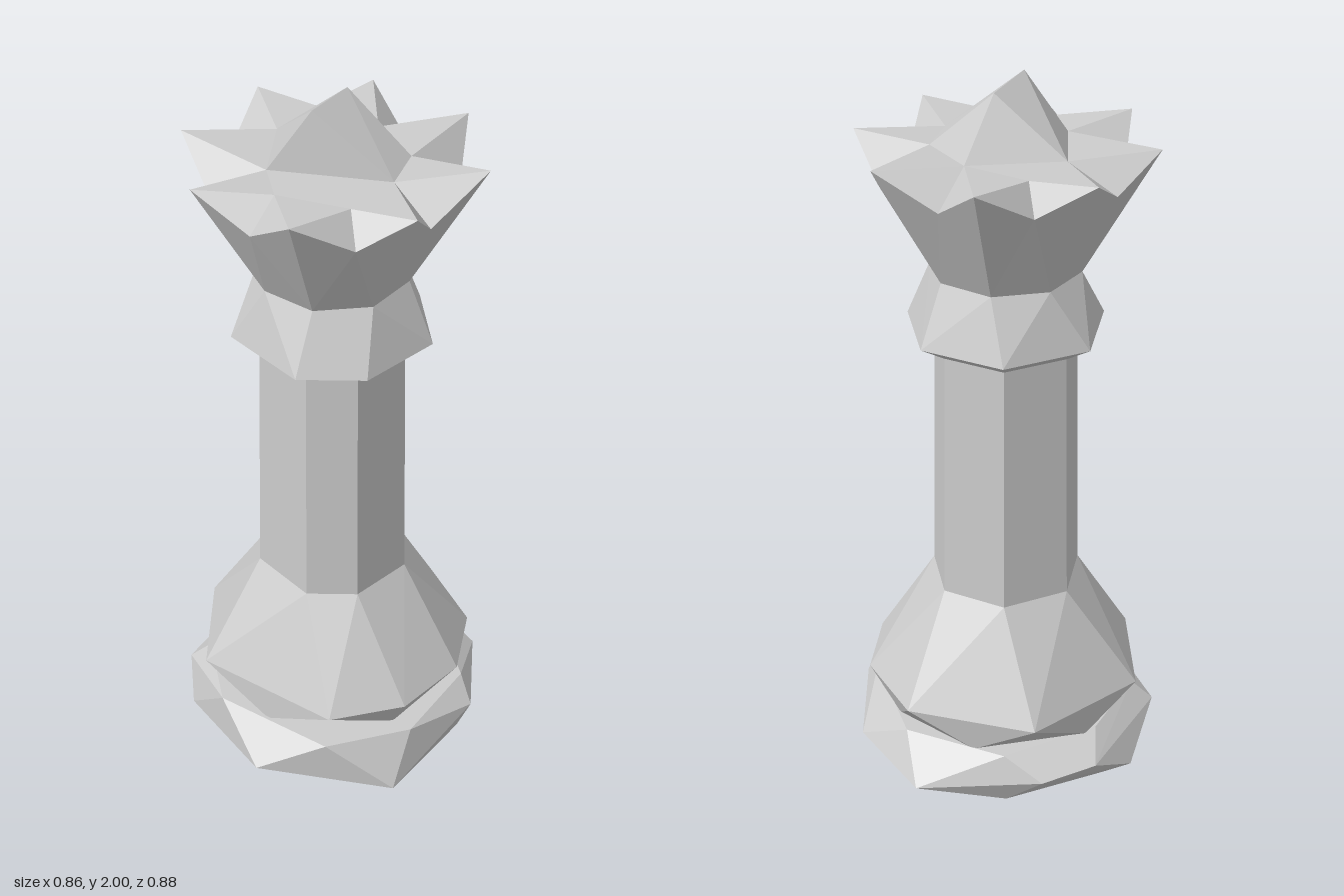
import * as THREE from 'three';
import { ConvexGeometry } from 'three/addons/geometries/ConvexGeometry.js';

const material = new THREE.MeshStandardMaterial({ color: 0xcccccc, flatShading: true });
const v = (x, y, z) => new THREE.Vector3(x, y, z);

// Points around the axis; angle 0 faces the front and grows towards +x
const ring = (degrees, radius, y) => degrees.map((d) => {
  const a = THREE.MathUtils.degToRad(d);
  return v(radius * Math.sin(a), y, radius * Math.cos(a));
});
const plan = (y, pairs) => pairs.map(([x, z]) => v(x, y, z));

function addMesh(group, name, geometry) {
  const mesh = new THREE.Mesh(geometry, material);
  mesh.name = name;
  group.add(mesh);
}
const addHull = (group, name, ...rings) => addMesh(group, name, new ConvexGeometry(rings.flat()));

export function createModel() {
  const group = new THREE.Group();
  group.name = 'chessQueen';

  const octagon = Array.from({ length: 8 }, (_, i) => 22.5 + 45 * i);
  const sides = [-40, 17, 56, 108, 160, 212, 266];

  // Irregular faceted foot
  addHull(group, 'foot',
    plan(0, [[-0.3, 0.3], [0.39, 0.225], [0.385, -0.1], [0.12, -0.33], [-0.2, -0.3], [-0.36, -0.05]]),
    [v(0.06, 0.05, 0.44), v(0.01, 0.04, -0.445), v(-0.43, 0.03, 0), v(0.425, 0.1, -0.11),
      v(0.26, 0.08, -0.36), v(-0.405, 0.11, -0.155), v(-0.31, 0.09, -0.285), v(-0.365, 0.1, 0.23)],
    plan(0.155, [[-0.13, 0.36], [0.23, 0.335], [0.38, 0.13], [0.36, -0.15], [0.1, -0.36],
      [-0.2, -0.31], [-0.34, -0.05], [-0.31, 0.2]]));

  // Swelling above the foot, tapering up to the shaft
  addHull(group, 'lowerBulge',
    ring([4, 68, 118, 150, 198, 255, 308], 0.34, 0.15),
    ring([-30, 36, 68, 101, 133, 170, 225, 282], 0.4, 0.253),
    ring(sides, 0.215, 0.55));

  addHull(group, 'shaft', ring(sides, 0.215, 0.55), ring(sides, 0.202, 1.29));

  addHull(group, 'collar',
    ring(sides, 0.205, 1.275),
    ring(sides, 0.278, 1.32),
    ring(octagon, 0.205, 1.49));

  // Crown: eight points with notches between them and an uneven inner ledge
  const base = ring(octagon, 0.205, 1.49);
  const tips = ring(octagon, 0.405, 1.845);
  const notches = plan(1.75, [[0, 0.335], [0.25, 0.235], [0.33, 0.035], [0.22, -0.255],
    [-0.01, -0.32], [-0.23, -0.22], [-0.325, 0.02], [-0.22, 0.235]]);
  const ledge = plan(1.832, [[0.01, 0.25], [0.2, 0.19], [0.205, 0.02], [0.16, -0.115],
    [0, -0.19], [-0.19, -0.185], [-0.2, -0.02], [-0.085, 0.165]]);
  const centre = v(0, 1.832, 0);
  const corners = [];
  for (let i = 0; i < 8; i++) {
    const p = (i + 7) % 8, n = (i + 1) % 8;
    corners.push(
      base[p], base[i], notches[i],
      base[p], notches[i], tips[p],
      base[i], tips[i], notches[i],
      tips[p], notches[i], ledge[i],
      notches[i], tips[i], ledge[i],
      tips[i], ledge[n], ledge[i],
      ledge[i], ledge[n], centre);
  }
  const crown = new THREE.BufferGeometry().setFromPoints(corners);
  crown.computeVertexNormals();
  addMesh(group, 'crown', crown);

  // Faceted knob with a short ridge on top
  addHull(group, 'crownKnob',
    [2, 3, 4, 6, 7].map((i) => ledge[i]),
    [v(-0.01, 1.99, -0.07), v(0.01, 2, 0.1)]);

  return group;
}
